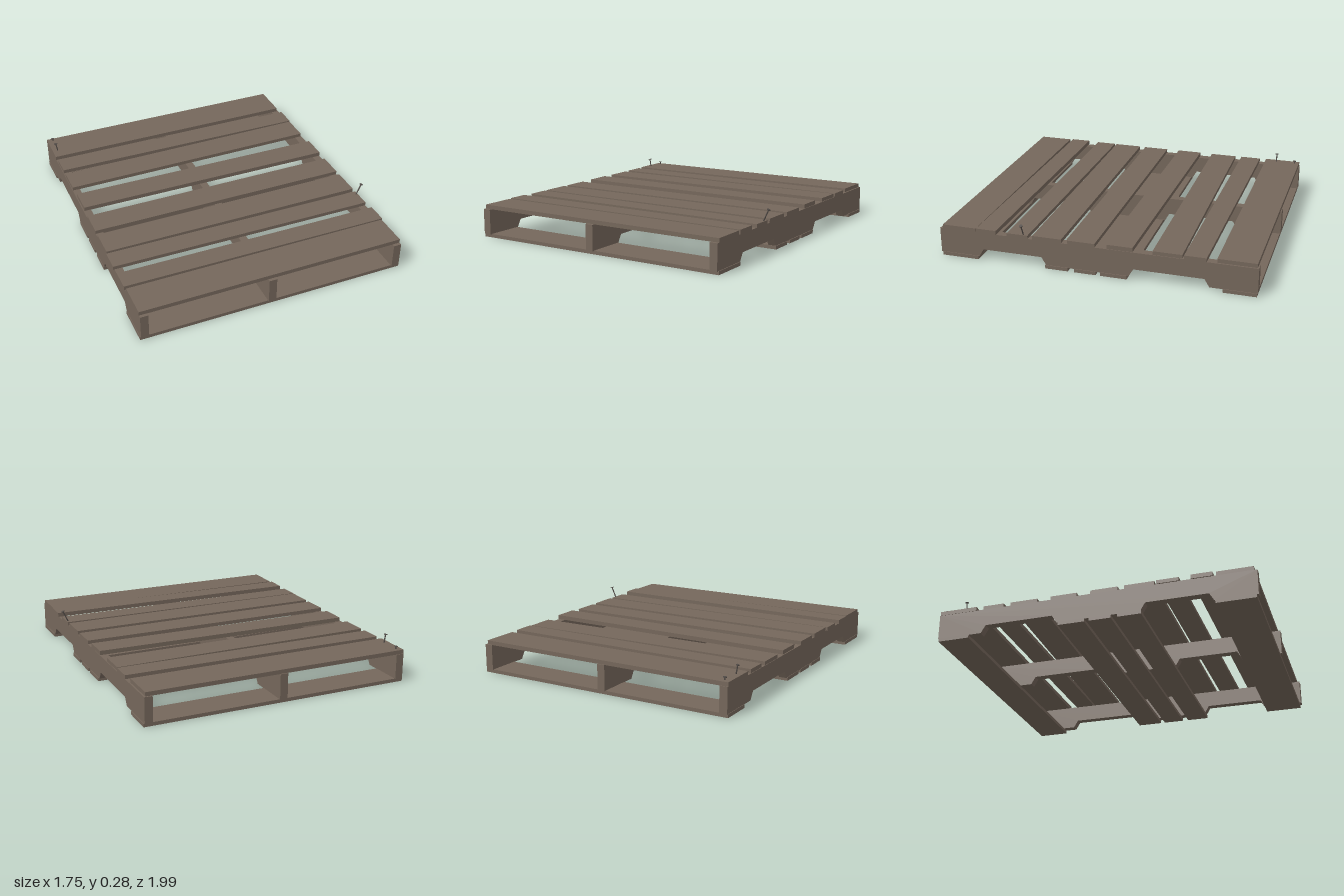
import * as THREE from 'three';

const wood = new THREE.MeshStandardMaterial({ color: 0x75675b });
wood.name = 'weathered wood';
const steel = new THREE.MeshStandardMaterial({ color: 0x514b47 });
steel.name = 'dark steel';

// Board running along x; its back and front edges may sit at different z at each end
function board(name, [x0, x1], [backL, frontL], [backR, frontR], y0, y1, tilt = 0) {
  const geo = new THREE.BoxGeometry(1, 1, 1).toNonIndexed();
  const p = geo.attributes.position;
  for (let i = 0; i < p.count; i++) {
    const right = p.getX(i) > 0, front = p.getZ(i) > 0;
    const z = right ? (front ? frontR : backR) : (front ? frontL : backL);
    const y = (p.getY(i) > 0 ? y1 : y0) + (right ? tilt : 0);
    p.setXYZ(i, right ? x1 : x0, y, z);
  }
  geo.computeVertexNormals();
  const mesh = new THREE.Mesh(geo, wood);
  mesh.name = name;
  return mesh;
}

// Notched side profile, drawn in (z, y) and extruded across x
function stringer(x0, x1) {
  const profile = [
    [-0.995, 0.02], [-0.71, 0.02], [-0.68, 0.07], [-0.25, 0.07], [-0.22, 0.02],
    [0.3, 0.02], [0.33, 0.07], [0.71, 0.07], [0.74, 0.02], [0.995, 0.02],
    [0.995, 0.18], [-0.995, 0.18],
  ];
  const shape = new THREE.Shape(profile.map(([z, y]) => new THREE.Vector2(-z, y)));
  const geo = new THREE.ExtrudeGeometry(shape, { depth: x1 - x0, bevelEnabled: false });
  geo.rotateY(Math.PI / 2).translate(x0, 0, 0);
  const mesh = new THREE.Mesh(geo, wood);
  mesh.name = 'stringer';
  return mesh;
}

// Protruding nail: shaft and flat head along the line from base to tip
function nail(base, tip) {
  const a = new THREE.Vector3(...base), b = new THREE.Vector3(...tip);
  const length = a.distanceTo(b);
  const group = new THREE.Group();
  group.name = 'nail';
  const shaft = new THREE.Mesh(new THREE.CylinderGeometry(0.004, 0.004, length, 8), steel);
  shaft.name = 'nailShaft';
  shaft.position.y = length / 2;
  const head = new THREE.Mesh(new THREE.CylinderGeometry(0.011, 0.011, 0.004, 10), steel);
  head.name = 'nailHead';
  head.position.y = length;
  group.add(shaft, head);
  group.position.copy(a);
  group.quaternion.setFromUnitVectors(new THREE.Vector3(0, 1, 0), b.sub(a).normalize());
  return group;
}

export function createModel() {
  const pallet = new THREE.Group();
  pallet.name = 'pallet';

  // Three notched stringers
  for (const [x0, x1] of [[-0.87, -0.82], [-0.06, -0.01], [0.79, 0.84]]) {
    pallet.add(stringer(x0, x1));
  }

  // Deck boards: x range, z range at the -x end, z range at the +x end, top height, tilt
  const deck = [
    [[-0.872, 0.83], [-0.99, -0.75], [-0.985, -0.75], 0.205, 0],
    [[-0.867, 0.84], [-0.705, -0.57], [-0.69, -0.555], 0.204, 0],
    [[-0.867, 0.835], [-0.525, -0.35], [-0.545, -0.365], 0.203, 0],
    [[-0.863, 0.84], [-0.265, -0.1], [-0.245, -0.085], 0.206, 0.003],
    [[-0.87, 0.84], [-0.01, 0.16], [-0.01, 0.16], 0.203, 0],
    [[-0.87, 0.84], [0.2, 0.385], [0.2, 0.385], 0.204, 0],
    [[-0.877, 0.842], [0.4, 0.535], [0.415, 0.55], 0.202, 0],
    [[-0.877, 0.847], [0.605, 0.735], [0.62, 0.75], 0.206, 0.003],
    [[-0.87, 0.84], [0.755, 0.975], [0.755, 0.975], 0.205, 0],
  ];
  for (const [xs, left, right, top, tilt] of deck) {
    pallet.add(board('deckBoard', xs, left, right, 0.179, top, tilt));
  }

  // Bottom boards
  for (const z of [[-0.99, -0.79], [-0.21, -0.045], [-0.016, 0.12], [0.16, 0.305], [0.745, 0.985]]) {
    pallet.add(board('bottomBoard', [-0.873, 0.845], z, z, 0, 0.022));
  }

  // Loose nails
  pallet.add(nail([0.828, 0.195, 0.445], [0.863, 0.272, 0.445]));
  pallet.add(nail([-0.835, 0.195, -0.83], [-0.846, 0.259, -0.83]));
  pallet.add(nail([-0.832, 0.195, -0.96], [-0.836, 0.222, -0.96]));

  return pallet;
}
